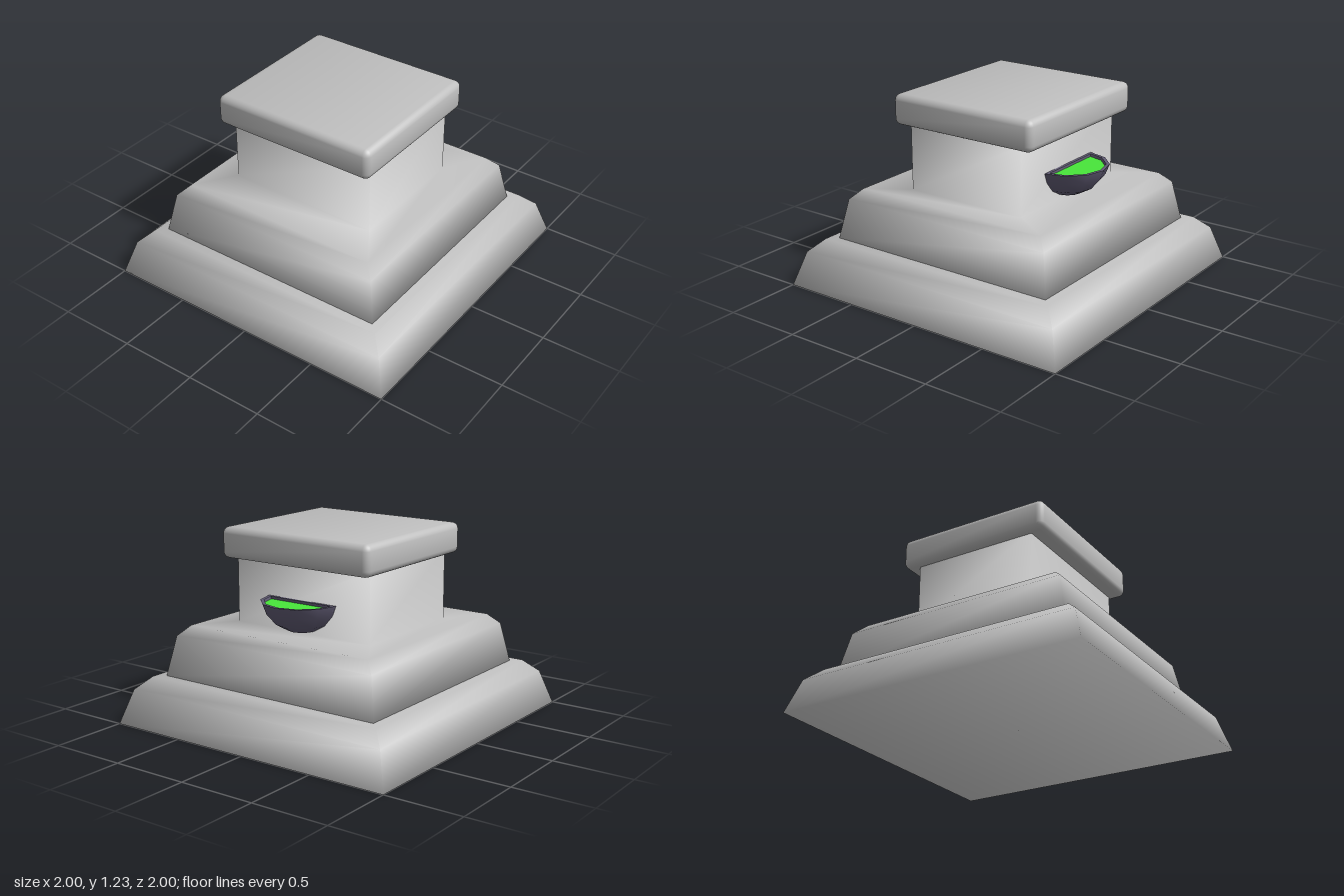
import * as THREE from 'three';
import { RoundedBoxGeometry } from 'three/addons/geometries/RoundedBoxGeometry.js';

// Closed loft through rectangular rings [halfX, halfZ, y]; each corner normal
// is the plain average of the faces meeting there, for a soft moulded look
function rectLoft(rings) {
  const pos = [], nor = [], idx = [];
  const last = rings.length - 1;
  const corners = [[1, 1], [1, -1], [-1, -1], [-1, 1]];
  rings.forEach(([x, z, y], r) => {
    const n = new THREE.Vector3(0, r === 0 ? -1 : r === last ? 1 : 0, 0);
    for (const s of [r - 1, r]) {
      if (s < 0 || s >= last) continue;
      const [x0, z0, y0] = rings[s], [x1, z1, y1] = rings[s + 1];
      n.add(new THREE.Vector3(y1 - y0, x0 - x1, 0).normalize());
      n.add(new THREE.Vector3(0, z0 - z1, y1 - y0).normalize());
    }
    n.normalize();
    for (const [sx, sz] of corners) {
      pos.push(sx * x, y, sz * z);
      nor.push(sx * n.x, n.y, sz * n.z);
    }
  });
  for (let r = 0; r < last; r++) {
    for (let i = 0; i < 4; i++) {
      const a = r * 4 + i, b = r * 4 + (i + 1) % 4;
      idx.push(a, b, b + 4, a, b + 4, a + 4);
    }
  }
  const t = last * 4;
  idx.push(0, 2, 1, 0, 3, 2, t, t + 1, t + 2, t, t + 2, t + 3);
  const g = new THREE.BufferGeometry();
  g.setAttribute('position', new THREE.Float32BufferAttribute(pos, 3));
  g.setAttribute('normal', new THREE.Float32BufferAttribute(nor, 3));
  g.setIndex(idx);
  return g;
}

// Rounded slab whose normals lean towards its corners, so the faces shade softly
function softSlab(w, h, d, radius) {
  const g = new RoundedBoxGeometry(w, h, d, 3, radius);
  const p = g.attributes.position, n = g.attributes.normal;
  const v = new THREE.Vector3();
  for (let i = 0; i < p.count; i++) {
    const lean = new THREE.Vector3(Math.sign(p.getX(i)), Math.sign(p.getY(i)), Math.sign(p.getZ(i)));
    v.fromBufferAttribute(n, i).addScaledVector(lean, 0.2).normalize();
    n.setXYZ(i, v.x, v.y, v.z);
  }
  return g;
}

// Half lathe bulging towards +x
function halfLathe(points) {
  return new THREE.LatheGeometry(points.map(([r, y]) => new THREE.Vector2(r, y)), 6, 0, Math.PI);
}

export function createModel() {
  const group = new THREE.Group();
  const material = (name, color) => {
    const m = new THREE.MeshStandardMaterial({ color });
    m.name = name;
    return m;
  };
  const stone = material('grey stone', 0xbfbfbf);
  const dark = material('dark bowl', 0x625d76);
  const green = material('green liquid', 0x48e63a);

  const add = (name, geometry, mat, x = 0, y = 0, z = 0) => {
    const mesh = new THREE.Mesh(geometry, mat);
    mesh.name = name;
    mesh.position.set(x, y, z);
    group.add(mesh);
  };

  // Stepped plinth, with the pillar growing out of the upper step
  add('lowerStep', rectLoft([[1, 1, 0], [0.93, 0.93, 0.22], [0.845, 0.845, 0.3]]), stone);
  add('upperStepAndPillar', rectLoft([
    [0.785, 0.785, 0.3], [0.735, 0.735, 0.555], [0.67, 0.67, 0.62],
    [0.41, 0.5, 0.62], [0.41, 0.5, 1.06],
  ]), stone);

  // Rounded cap slab
  add('cap', softSlab(1.02, 0.195, 1.1, 0.04), stone, 0, 1.1325, 0);

  // Half bowl on the pillar's side, with rim, inner wall, back wall and liquid
  const bowlX = 0.408;
  add('bowl', halfLathe([[0, 0.63], [0.09, 0.64], [0.17, 0.685], [0.23, 0.755], [0.255, 0.82]]), dark, bowlX);
  add('bowlRim', halfLathe([[0.255, 0.82], [0.233, 0.82]]), dark, bowlX);
  add('bowlInnerWall', halfLathe([[0.233, 0.82], [0.228, 0.8]]), dark, bowlX);
  add('bowlBackWall', new THREE.BoxGeometry(0.02, 0.03, 0.48), dark, bowlX + 0.01, 0.805, 0);
  add('liquid', halfLathe([[0.23, 0.803], [0, 0.803]]), green, bowlX);

  return group;
}
